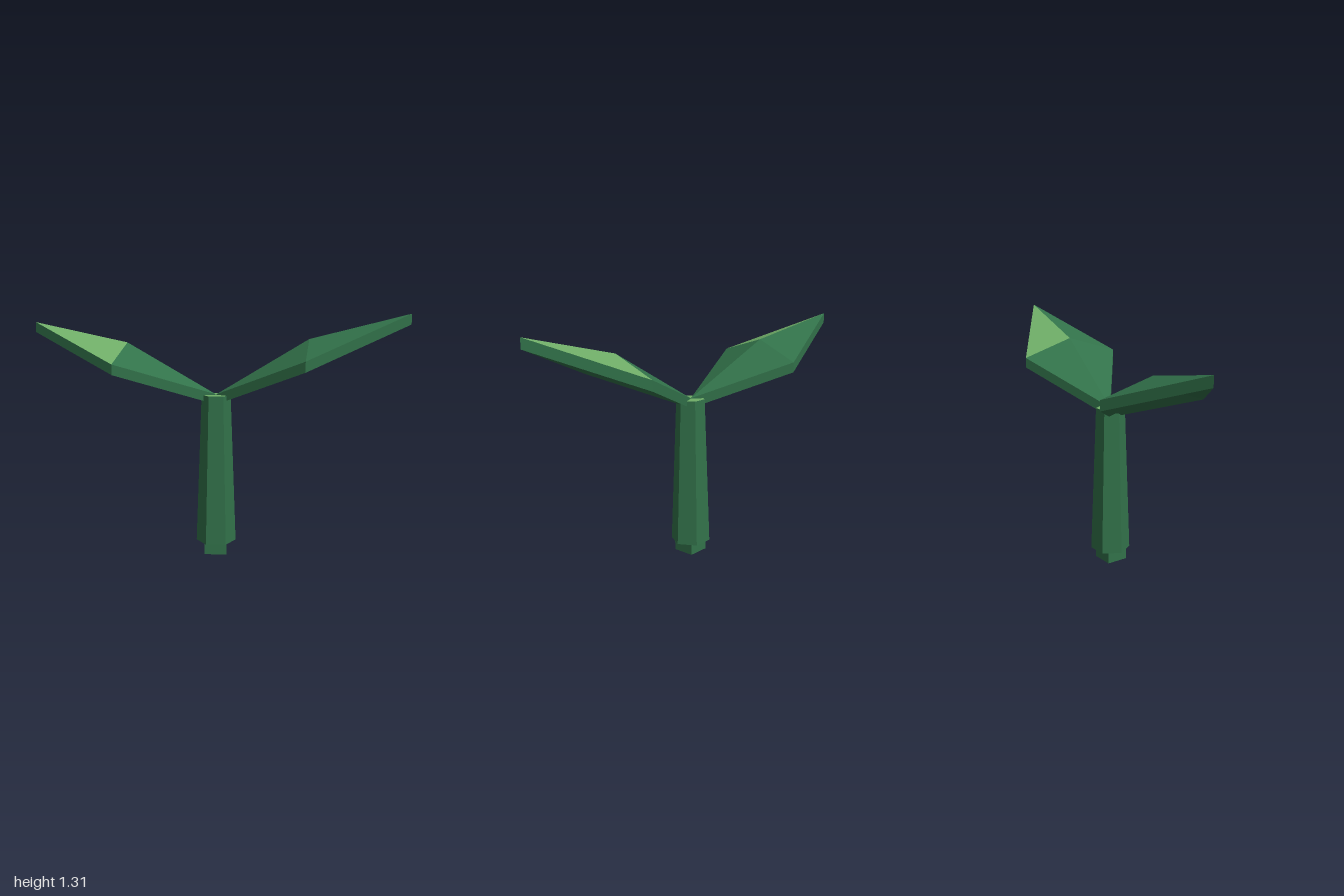
import * as THREE from 'three';

const leafGreen = new THREE.MeshStandardMaterial({ color: 0x32724a, flatShading: true });
leafGreen.name = 'leaf green';
const lightGreen = new THREE.MeshStandardMaterial({ color: 0x6fad67, flatShading: true });
lightGreen.name = 'light green';

const THICKNESS = 0.055;

// Four-cornered folded leaf: rim runs counterclockwise from above, starting
// at the stem, and the raised centre makes the crease.
function makeLeaf(name, rim, centre) {
  const drop = ([x, y, z]) => [x, y - THICKNESS, z];
  const plain = [], light = [];
  rim.forEach((a, i) => {
    const b = rim[(i + 1) % rim.length];
    (i === 2 ? light : plain).push(...a, ...b, ...centre); // one facet by the tip is lighter
    plain.push(...drop(b), ...drop(a), ...drop(centre)); // underside
    plain.push(...drop(a), ...drop(b), ...b, ...drop(a), ...b, ...a); // rim wall
  });
  const geometry = new THREE.BufferGeometry();
  geometry.setAttribute('position', new THREE.Float32BufferAttribute([...plain, ...light], 3));
  geometry.addGroup(0, plain.length / 3, 0);
  geometry.addGroup(plain.length / 3, light.length / 3, 1);
  geometry.computeVertexNormals();
  const mesh = new THREE.Mesh(geometry, [leafGreen, lightGreen]);
  mesh.name = name;
  return mesh;
}

export function createModel() {
  const model = new THREE.Group();
  model.name = 'sprout';

  // Tapered six-sided stem with a pale cut top (side, top, bottom materials)
  const stem = new THREE.Mesh(
    new THREE.CylinderGeometry(0.078, 0.108, 0.81, 6, 1, false, Math.PI / 6),
    [leafGreen, lightGreen, leafGreen]
  );
  stem.name = 'stem';
  stem.position.set(0, 0.47, 0.013);
  model.add(stem);

  // Square peg under the stem
  const peg = new THREE.Mesh(new THREE.BoxGeometry(0.122, 0.07, 0.122), leafGreen);
  peg.name = 'peg';
  peg.position.set(-0.003, 0.035, 0.016);
  model.add(peg);

  // Pair of leaves spreading from the stem top
  const base = [0, 0.877, 0.01];
  model.add(makeLeaf('leftLeaf',
    [base, [0.445, 1.088, 0.35], [1, 1.312, 0.138], [0.515, 1.088, -0.205]],
    [0.487, 1.178, 0.072]));
  model.add(makeLeaf('rightLeaf',
    [base, [-0.43, 1.056, -0.353], [-1, 1.251, -0.175], [-0.533, 1.056, 0.195]],
    [-0.483, 1.147, -0.085]));

  return model;
}
